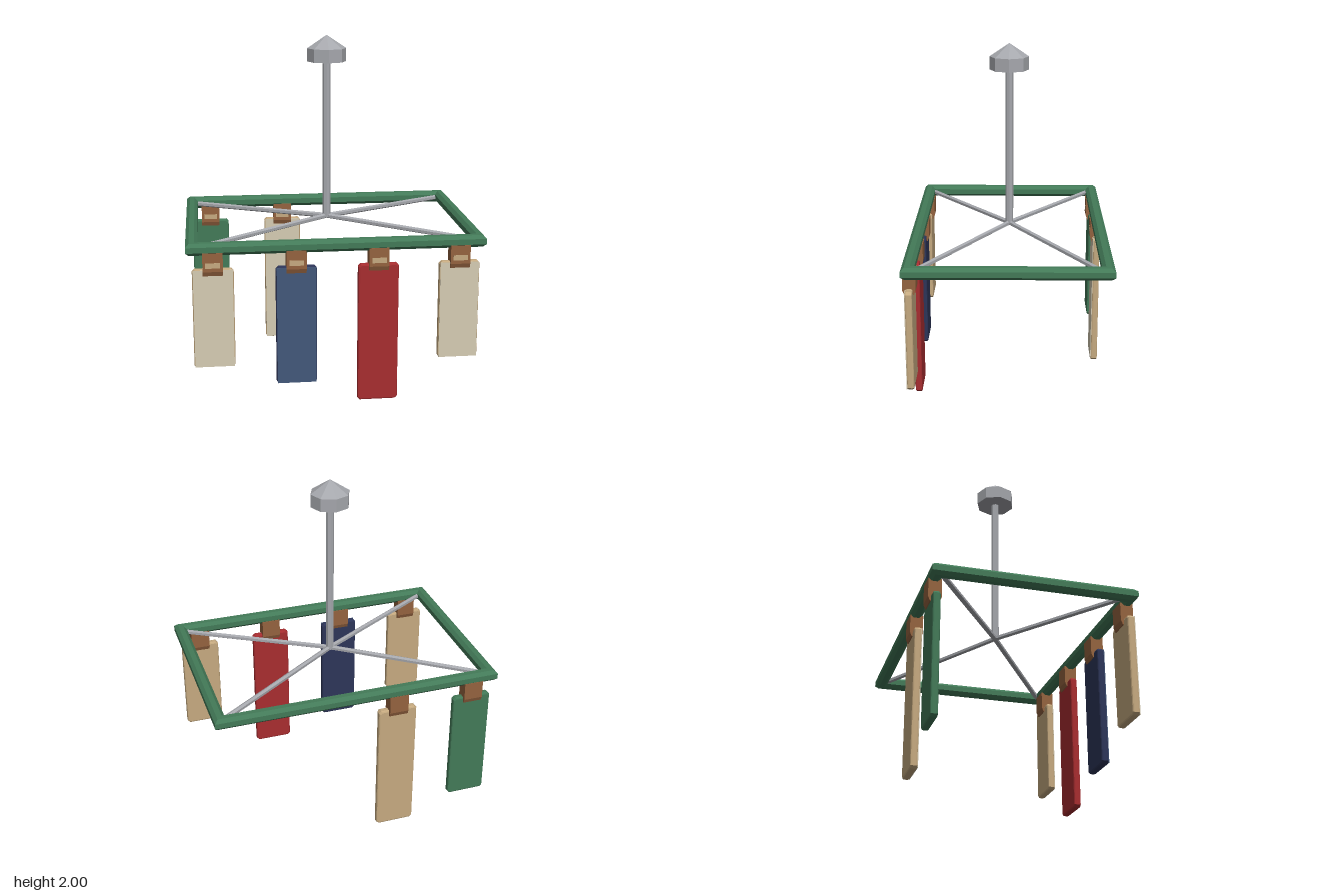
import * as THREE from 'three';

const mat = (name, color) => {
  const m = new THREE.MeshStandardMaterial({ color });
  m.name = name;
  m.flatShading = true;
  return m;
};

export function createModel() {
  const root = new THREE.Group();
  root.name = 'hangingSignRack';
  const green = mat('green', 0x437a58), red = mat('red', 0xa82d30);
  const cream = mat('cream', 0xd6ccb3), tan = mat('tan', 0xc6aa80);
  const blue = mat('blue', 0x43587a), navy = mat('navy', 0x2d3559);
  const brown = mat('brown', 0x94633f), grey = mat('grey', 0xa6a8ad);

  const add = (name, geometry, material, x = 0, y = 0, z = 0, parent = root) => {
    const mesh = new THREE.Mesh(geometry, material);
    mesh.name = name;
    mesh.position.set(x, y, z);
    parent.add(mesh);
    return mesh;
  };

  // Rectangular outline centred on the origin
  const rect = (hw, hh, Type = THREE.Shape) => new Type([
    new THREE.Vector2(-hw, -hh), new THREE.Vector2(hw, -hh),
    new THREE.Vector2(hw, hh), new THREE.Vector2(-hw, hh)]);

  // Frame: one ring with a chamfered section
  const ring = rect(0.806, 0.544);
  ring.holes.push(rect(0.777, 0.514, THREE.Path));
  const frameGeo = new THREE.ExtrudeGeometry(ring, {
    depth: 0.031, bevelEnabled: true, bevelSize: 0.019, bevelThickness: 0.018, bevelSegments: 1 });
  frameGeo.rotateX(-Math.PI / 2);
  add('frame', frameGeo, green, 0, 0.897, 0);

  // Pole and ceiling cap
  add('pole', new THREE.CylinderGeometry(0.023, 0.023, 0.93, 8), grey, 0, 1.4, 0);
  const capProfile = [[0, 1.85], [0.112, 1.85], [0.112, 1.925], [0, 2]]
    .map(([r, y]) => new THREE.Vector2(r, y));
  add('ceilingCap', new THREE.LatheGeometry(capProfile, 8), grey);

  // Diagonal spokes from the pole to the frame corners
  const hub = new THREE.Vector3(0, 0.941, 0);
  for (const sx of [-1, 1]) for (const sz of [-1, 1]) {
    const end = new THREE.Vector3(0.77 * sx, 0.91, 0.505 * sz);
    const dir = end.clone().sub(hub);
    const spoke = add('spoke', new THREE.CylinderGeometry(0.015, 0.015, dir.length(), 6), grey);
    spoke.position.copy(hub).add(end).multiplyScalar(0.5);
    spoke.quaternion.setFromUnitVectors(new THREE.Vector3(0, 1, 0), dir.normalize());
  }

  // Clip profile across z and y, narrowing at the lower end
  const clipShape = new THREE.Shape([
    [-0.036, 0.895], [-0.036, 0.79], [-0.026, 0.765],
    [0.026, 0.765], [0.036, 0.79], [0.036, 0.895]].map(p => new THREE.Vector2(...p)));
  const clipGeo = new THREE.ExtrudeGeometry(clipShape, { depth: 0.11, bevelEnabled: false });
  clipGeo.translate(0, 0, -0.055);
  clipGeo.rotateY(-Math.PI / 2);

  // Hanging panel with bevelled rim, front face and clip
  const top = 0.8;
  const addPanel = (x, z, bottom, front, back) => {
    const group = new THREE.Group();
    group.name = 'hangingPanel';
    group.position.set(x, 0, z);
    root.add(group);
    const h = top - bottom, w = 0.226, b = 0.01, c = 0.008;
    const hw = w / 2 - b, hh = h / 2 - b;
    const outline = new THREE.Shape([
      [-hw + c, -hh], [hw - c, -hh], [hw, -hh + c], [hw, hh - c],
      [hw - c, hh], [-hw + c, hh], [-hw, hh - c], [-hw, -hh + c]]
      .map(p => new THREE.Vector2(...p)));
    const geo = new THREE.ExtrudeGeometry(outline, {
      depth: 0.02, bevelEnabled: true, bevelSize: b, bevelThickness: b, bevelSegments: 2 });
    geo.translate(0, 0, -0.01);
    const y = (top + bottom) / 2;
    add('panelBody', geo, back, 0, y, 0, group);
    if (front !== back) {
      add('panelFront', new THREE.BoxGeometry(w - 0.01, h - 0.01, 0.004), front, 0, y, 0.02, group);
    }
    add('clip', clipGeo, brown, 0, 0, 0, group);
    add('wornPatch', new THREE.BoxGeometry(0.08, 0.03, 0.002), tan, 0, 0.825, 0.036, group);
  };

  const zRow = 0.527;
  addPanel(-0.68, zRow, 0.235, cream, tan);
  addPanel(-0.227, zRow, 0.12, blue, navy);
  addPanel(0.227, zRow, 0, red, red);
  addPanel(0.68, zRow, 0.235, cream, tan);
  addPanel(-0.68, -zRow, 0.12, green, green);
  addPanel(-0.227, -zRow, 0, cream, tan);

  return root;
}
